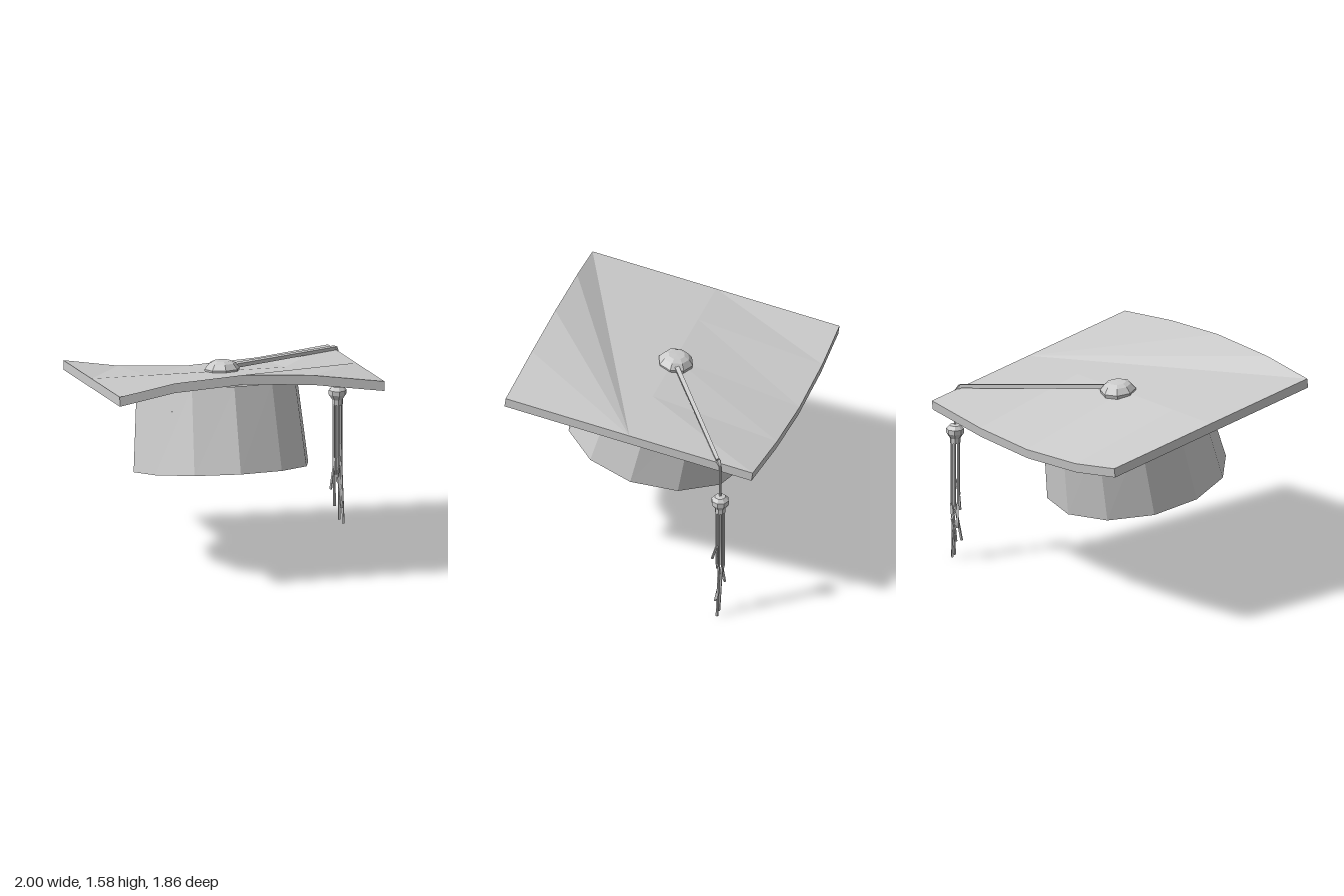
import * as THREE from 'three';

const grey = new THREE.MeshStandardMaterial({ color: 0xcccccc, flatShading: true });
const greyOpen = new THREE.MeshStandardMaterial({ color: 0xcccccc, flatShading: true, side: THREE.DoubleSide });
const V = (x, y, z) => new THREE.Vector3(x, y, z);

function part(name, geometry, material = grey) {
  const flat = geometry.index ? geometry.toNonIndexed() : geometry;
  flat.computeVertexNormals();
  const mesh = new THREE.Mesh(flat, material);
  mesh.name = name;
  return mesh;
}

// Saddle-shaped square: front edge arches up, back edge sags
function boardGeometry() {
  const xs = [-1, -0.6, -0.09, 0.4, 0.916];
  const arch = [0, 0.07, 0.1, 0.07, 0];
  const front = xs.map((x, i) => V(x, 1.48 + arch[i], 0.922 - 0.3 * arch[i]));
  const middle = xs.map(x => V(x, 1.365, 0));
  const back = xs.map((x, i) => V(x, 1.25 - 0.95 * arch[i], -0.92 - 0.1 * arch[i]));
  const under = p => V(p.x, p.y - 0.068, p.z + 0.009);
  const points = [];
  const quad = (a, b, c, d) => points.push(a, b, c, a, c, d);

  // top front half fans out from the left side edge
  const rim = [middle[0], ...front];
  for (let i = 0; i < 5; i++) points.push(middle[4], rim[i], rim[i + 1]);
  // top back half and the underside are strips from front to back
  for (let i = 0; i < 4; i++) {
    quad(middle[i], middle[i + 1], back[i + 1], back[i]);
    quad(under(middle[i]), under(middle[i + 1]), under(front[i + 1]), under(front[i]));
    quad(under(back[i]), under(back[i + 1]), under(middle[i + 1]), under(middle[i]));
  }
  // edges
  const loop = [middle[0], ...front, middle[4], ...back.reverse()];
  loop.forEach((a, i) => {
    const b = loop[(i + 1) % loop.length];
    quad(under(a), under(b), b, a);
  });
  return new THREE.BufferGeometry().setFromPoints(points);
}

// Moves a unit cylinder or disc onto the leaning, tapering crown:
// y from 0 at the bottom rim to 1 at the board
function toCrown(g) {
  const p = g.attributes.position;
  for (let i = 0; i < p.count; i++) {
    const s = p.getX(i), t = p.getY(i), c = p.getZ(i);
    const bottom = V(-0.09 + 0.632 * s, 0.6945 + 0.1225 * c, 0.12 + 0.653 * c);
    const top = V(-0.09 + 0.58 * s, 1.29 + 0.113 * c, -0.015 + 0.577 * c);
    const v = bottom.lerp(top, t);
    p.setXYZ(i, v.x, v.y, v.z);
  }
  return g;
}

function lathe(profile) {
  return new THREE.LatheGeometry(profile.map(([r, y]) => new THREE.Vector2(r, y)), 8);
}

// Straight four-sided bar between two points
function bar(a, b, r0, r1 = r0) {
  const d = b.clone().sub(a);
  const g = new THREE.CylinderGeometry(r1, r0, d.length(), 4);
  g.applyQuaternion(new THREE.Quaternion().setFromUnitVectors(V(0, 1, 0), d.normalize()));
  const m = a.clone().add(b).multiplyScalar(0.5);
  return g.translate(m.x, m.y, m.z);
}

export function createModel() {
  const cap = new THREE.Group();
  cap.name = 'graduationCap';

  // Open crown, closed inside by a ceiling
  const wall = new THREE.CylinderGeometry(1, 1, 1, 12, 1, true).translate(0, 0.5, 0);
  const ceiling = new THREE.CircleGeometry(1, 12).rotateX(Math.PI / 2).translate(0, 0.73, 0);
  cap.add(
    part('board', boardGeometry()),
    part('crown', toCrown(wall), greyOpen),
    part('crownCeiling', toCrown(ceiling), greyOpen),
  );

  // Button on the centre of the board
  const button = part('button', lathe([[0, -0.02], [0.122, -0.02], [0.128, 0.008], [0.095, 0.048], [0.06, 0.064], [0, 0.066]]));
  button.position.set(-0.05, 1.37, -0.02);
  button.rotation.x = -0.1;
  cap.add(button);

  // Cord across the board, over the edge and down to the tassel
  const path = [V(0.03, 1.383, -0.055), V(0.908, 1.298, -0.658), V(0.932, 1.262, -0.683), V(0.932, 1, -0.683)];
  const radii = [0.022, 0.018, 0.009, 0.009];
  const cord = new THREE.Group();
  cord.name = 'cord';
  for (let i = 0; i < 3; i++) {
    cord.add(part('cordSection', bar(path[i], path[i + 1], radii[i], radii[i + 1])));
  }
  cap.add(cord);

  // Tassel: knot with collar, and loose strands
  const tassel = new THREE.Group();
  tassel.name = 'tassel';
  tassel.position.set(0.932, 0, -0.683);
  tassel.add(part('knot', lathe([
    [0, 0.875], [0.038, 0.875], [0.038, 0.912], [0.064, 0.95], [0.064, 0.982], [0.04, 1.008], [0, 1.015],
  ])));
  // tip of each strand: x, y, z
  const tips = [
    [0.04, 0.002, 0.01], [0.01, 0.03, 0.005], [-0.03, 0.14, 0.035], [-0.045, 0.25, -0.02],
    [0.005, 0.3, -0.03], [-0.02, 0.37, 0.03], [0.015, 0.47, 0.055], [0.025, 0.12, 0.03],
  ];
  const ring = [0, 1, 3, 4, 6, 5, 7, 2];
  tips.forEach(([x, y, z], i) => {
    const a = ring[i] * Math.PI / 4 + Math.PI / 2;
    const sx = 0.027 * Math.sin(a), sz = 0.027 * Math.cos(a);
    const knee = V(sx, Math.max(0.42, y + 0.12), sz);
    const strand = new THREE.Group();
    strand.name = 'strand';
    strand.add(
      part('strandUpper', bar(V(sx, 0.88, sz), knee, 0.008)),
      part('strandTip', bar(knee, V(x, y, z), 0.009, 0.01)),
    );
    tassel.add(strand);
  });
  cap.add(tassel);
  return cap;
}
